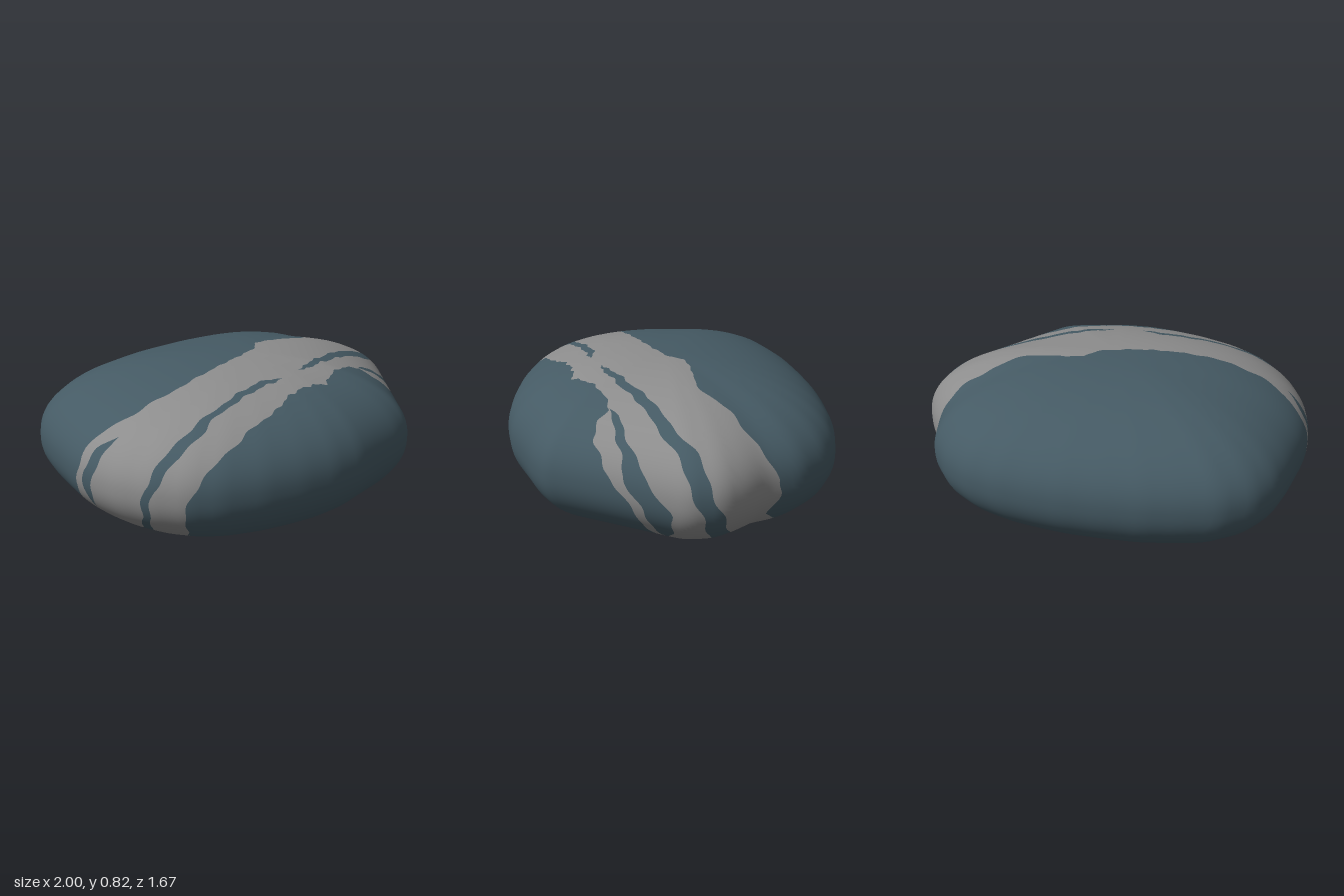
import * as THREE from 'three';

const HALF = 0.41;      // half height, also the height of the centre
const POWER = 2.2;      // roundness of the vertical section
const TAU = Math.PI * 2;
const SEGMENTS = 320;

// Outline seen from above, as x, z pairs
const OUTLINE = [
  [1, -0.01], [1, -0.17], [0.93, -0.29], [0.84, -0.4], [0.78, -0.57], [0.65, -0.71], [0.5, -0.79],
  [0.32, -0.83], [0.13, -0.84], [0, -0.84], [-0.2, -0.82], [-0.4, -0.79], [-0.57, -0.74],
  [-0.74, -0.68], [-0.88, -0.56], [-0.95, -0.42], [-0.98, -0.24], [-1, 0], [-1, 0.1],
  [-0.98, 0.23], [-0.94, 0.37], [-0.86, 0.52], [-0.74, 0.65], [-0.6, 0.73], [-0.4, 0.79],
  [-0.2, 0.82], [-0.02, 0.83], [0.15, 0.81], [0.33, 0.75], [0.49, 0.7], [0.61, 0.64],
].reverse();

// Table of outline radius by angle, slightly softened at the corners
const STEPS = 720;
const cross = (ax, az, bx, bz) => ax * bz - az * bx;
function rawRadius(angle) {
  const ux = Math.cos(angle), uz = Math.sin(angle);
  for (let i = 0; i < OUTLINE.length; i++) {
    const [ax, az] = OUTLINE[i], [bx, bz] = OUTLINE[(i + 1) % OUTLINE.length];
    if (cross(ax, az, ux, uz) * cross(bx, bz, ux, uz) <= 0 && ax * ux + az * uz > 0) {
      return cross(ax, az, bx, bz) / cross(ux, uz, bx - ax, bz - az);
    }
  }
  return 0.9;
}
const raw = Array.from({ length: STEPS }, (_, i) => rawRadius((i / STEPS) * TAU + 1e-5));
const table = raw.map((_, i) => {
  let sum = 0;
  for (let k = -5; k <= 5; k++) sum += raw[(i + k + STEPS) % STEPS];
  return sum / 11;
});
function radius(x, z) {
  const f = ((Math.atan2(z, x) + TAU) % TAU) / TAU * STEPS;
  const i = Math.floor(f);
  return THREE.MathUtils.lerp(table[i % STEPS], table[(i + 1) % STEPS], f - i);
}

// Equals 1 on the surface, for a point relative to the centre
const level = (x, y, z) => Math.pow(
  Math.pow(Math.hypot(x, z) / radius(x, z), POWER) + Math.pow(Math.abs(y) / HALF, POWER), 1 / POWER);

// The band circles a horizontal axis n; t and up span its plane
const TILT = 0.24;
const n = new THREE.Vector3(Math.sin(TILT), 0, Math.cos(TILT));
const t = new THREE.Vector3(Math.cos(TILT), 0, -Math.sin(TILT));

// Closed curve around the axis through [x, y, z, halfWidth] points: gives latitude at phi
function edge(points, side = 0) {
  const keys = points.map(([x, y, z, w = 0]) => {
    const d = new THREE.Vector3(x, y - HALF, z).addScaledVector(n, side * w);
    const a = d.dot(t);
    return [Math.atan2(d.y, a), Math.atan2(d.dot(n), Math.hypot(a, d.y))];
  }).sort((a, b) => a[0] - b[0]);
  const first = keys[0], last = keys[keys.length - 1];
  keys.unshift([last[0] - TAU, last[1]]);
  keys.push([first[0] + TAU, first[1]]);
  return (phi) => {
    let i = 1;
    while (i < keys.length - 1 && keys[i][0] < phi) i++;
    const [p0, l0] = keys[i - 1], [p1, l1] = keys[i];
    const wobble = 0.008 * Math.sin(phi * 23) + 0.006 * Math.sin(phi * 41 + 1);
    return THREE.MathUtils.mapLinear(phi, p0, p1, l0, l1) + wobble;
  };
}

const BACK_EDGE = [
  [-0.58, 0.76, 0.21], [-0.4, 0.8, 0.18], [-0.2, 0.81, 0.12], [-0.05, 0.82, 0.07], [0.1, 0.82, 0],
  [0.15, 0.82, -0.08], [0.3, 0.8, -0.1], [0.45, 0.79, -0.1], [0.55, 0.76, -0.16], [0.65, 0.72, -0.25],
  [0.78, 0.63, -0.33], [0.85, 0.53, -0.42], [0.84, 0.45, -0.47], [0.83, 0.37, -0.46],
  [0.83, 0.25, -0.42], [0.72, 0.15, -0.5], [0.55, 0.08, -0.48], [0.3, 0.03, -0.4], [-0.1, 0, -0.3],
  [-0.58, 0.09, -0.09], [-0.85, 0.2, 0], [-0.98, 0.35, 0.08], [-0.98, 0.5, 0.1],
  [-0.92, 0.6, 0.14], [-0.75, 0.7, 0.2],
];
const FRONT_EDGE = [
  [0, 0.78, 0.54], [0.2, 0.77, 0.53], [0.38, 0.77, 0.38], [0.55, 0.75, 0.35], [0.6, 0.74, 0.35],
  [0.63, 0.7, 0.42], [0.7, 0.62, 0.42], [0.77, 0.5, 0.36], [0.85, 0.3, 0.22], [0.78, 0.15, 0.14],
  [0.58, 0.07, 0.06], [0.11, 0.01, 0.16], [-0.41, 0.04, 0.32], [-0.6, 0.13, 0.48],
  [-0.7, 0.22, 0.58], [-0.74, 0.32, 0.64], [-0.72, 0.45, 0.66], [-0.6, 0.56, 0.67],
  [-0.4, 0.67, 0.65], [-0.2, 0.72, 0.6],
];
// Dark streaks inside the band; zero width where a streak pauses
const SIDE_STREAK = [
  [-0.84, 0.62, 0.25, 0], [-0.92, 0.57, 0.22, 0.03], [-0.98, 0.45, 0.17, 0.035],
  [-0.97, 0.35, 0.17, 0.03], [-0.93, 0.25, 0.15, 0], [-0.6, 0.08, 0.05, 0], [-0.1, 0, -0.1, 0],
  [0.5, 0.06, -0.33, 0], [0.98, 0.4, -0.25, 0], [0.6, 0.76, 0, 0], [0, 0.8, 0.2, 0],
];
const LONG_STREAK = [
  [0.12, 0.8, 0.35, 0], [0.2, 0.8, 0.335, 0.02], [0.4, 0.78, 0.24, 0.03], [0.55, 0.76, 0.16, 0.035],
  [0.7, 0.71, 0.1, 0.035], [0.85, 0.62, 0, 0.045], [0.95, 0.5, -0.06, 0.045], [0.98, 0.4, -0.09, 0.045],
  [0.93, 0.25, -0.15, 0.05], [0.85, 0.18, -0.18, 0.05], [0.5, 0.06, -0.2, 0.045],
  [0.18, 0.01, -0.08, 0.04], [0.1, 0.01, -0.04, 0], [-0.1, 0, 0.08, 0], [-0.3, 0.03, 0.13, 0.04],
  [-0.54, 0.07, 0.22, 0.045], [-0.78, 0.17, 0.36, 0.03], [-0.87, 0.3, 0.5, 0.02],
  [-0.87, 0.45, 0.52, 0.025], [-0.75, 0.6, 0.55, 0.035], [-0.6, 0.7, 0.53, 0.035],
  [-0.5, 0.73, 0.5, 0.02], [-0.3, 0.78, 0.45, 0.025], [-0.1, 0.8, 0.405, 0.025], [-0.02, 0.8, 0.41, 0],
];
const WEDGE_STREAK = [
  [0.58, 0.74, 0.34, 0], [0.65, 0.72, 0.33, 0.025], [0.76, 0.66, 0.3, 0.03], [0.8, 0.6, 0.27, 0.035],
  [0.86, 0.47, 0.22, 0.07], [0.9, 0.35, 0.14, 0.075], [0.87, 0.22, 0.09, 0.05], [0.75, 0.12, 0.08, 0],
  [0.1, 0, 0.1, 0], [-0.41, 0.05, 0.27, 0], [-0.8, 0.35, 0.6, 0], [-0.5, 0.72, 0.57, 0],
  [0, 0.8, 0.48, 0], [0.5, 0.75, 0.32, 0],
];

// Strip of the surface between two latitude curves
function surface(lo, hi, rows) {
  const position = [], normal = [], index = [];
  const d = new THREE.Vector3(), g = new THREE.Vector3(), e = 0.004;
  for (let i = 0; i <= SEGMENTS; i++) {
    const phi = -Math.PI + (i / SEGMENTS) * TAU;
    for (let j = 0; j <= rows; j++) {
      const lat = THREE.MathUtils.lerp(lo(phi), hi(phi), j / rows);
      d.copy(t).multiplyScalar(Math.cos(phi) * Math.cos(lat)).addScaledVector(n, Math.sin(lat));
      d.y += Math.sin(phi) * Math.cos(lat);
      d.divideScalar(level(d.x, d.y, d.z));
      g.set(
        level(d.x + e, d.y, d.z) - level(d.x - e, d.y, d.z),
        level(d.x, d.y + e, d.z) - level(d.x, d.y - e, d.z),
        level(d.x, d.y, d.z + e) - level(d.x, d.y, d.z - e)).normalize();
      position.push(d.x, d.y + HALF, d.z);
      normal.push(g.x, g.y, g.z);
      if (i < SEGMENTS && j < rows) {
        const a = i * (rows + 1) + j, b = a + rows + 1;
        index.push(a, b, b + 1, a, b + 1, a + 1);
      }
    }
  }
  const geometry = new THREE.BufferGeometry();
  geometry.setAttribute('position', new THREE.Float32BufferAttribute(position, 3));
  geometry.setAttribute('normal', new THREE.Float32BufferAttribute(normal, 3));
  geometry.setIndex(index);
  return geometry;
}

export function createModel() {
  const slate = new THREE.MeshStandardMaterial({ color: 0x455a64 });
  slate.name = 'slate';
  const grey = new THREE.MeshStandardMaterial({ color: 0x8d8d8d });
  grey.name = 'bandGrey';

  // Curves from back to front, kept in order so that strips never overlap
  const curves = [() => -Math.PI / 2, edge(BACK_EDGE)];
  for (const streak of [SIDE_STREAK, LONG_STREAK, WEDGE_STREAK]) curves.push(edge(streak, -1), edge(streak, 1));
  curves.push(edge(FRONT_EDGE), () => Math.PI / 2);
  const ordered = curves.map((_, i) => (phi) => Math.max(...curves.slice(0, i + 1).map((c) => c(phi))));

  const names = ['backStone', 'backBand', 'sideStreak', 'middleBand', 'longStreak', 'frontBand',
    'wedgeStreak', 'outerBand', 'frontStone'];
  const group = new THREE.Group();
  group.name = 'pebble';
  names.forEach((name, i) => {
    const rows = i === 0 || i === names.length - 1 ? 36 : 8;
    const mesh = new THREE.Mesh(surface(ordered[i], ordered[i + 1], rows), i % 2 ? grey : slate);
    mesh.name = name;
    group.add(mesh);
  });
  return group;
}
